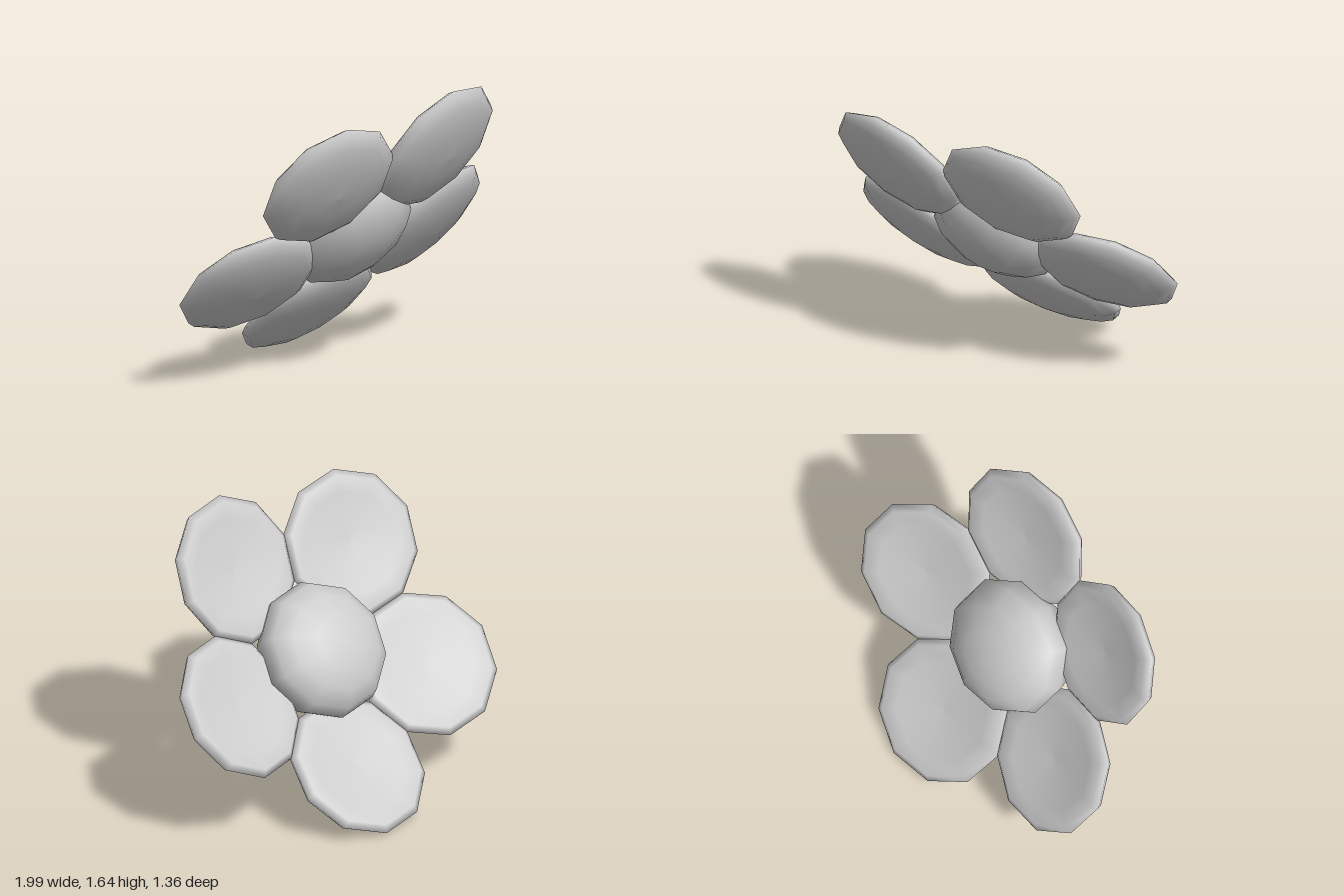
import * as THREE from 'three';

const PETALS = 5;
const SIDES = 10;
const RING = 0.664;                             // hub centre to petal centre
const CUP = THREE.MathUtils.degToRad(10);       // petals lean in towards the face
const PETAL_RADIUS = 0.416;
const PETAL_DEPTH = 0.122;                      // bulge of the underside

const material = new THREE.MeshStandardMaterial({ color: 0xcccccc });

// Rounded underside, rolled rim, then a shallow hollow back to the middle
function petalGeometry() {
  const points = [];
  const steps = 5;
  for (let i = 0; i <= steps; i++) {
    const a = (i / steps) * Math.PI / 2;
    points.push(new THREE.Vector2(PETAL_RADIUS * Math.sin(a), -PETAL_DEPTH * Math.cos(a)));
  }
  for (const [r, y] of [[0.91, 0.028], [0.7, 0.018], [0.4, 0], [0, -0.01]]) {
    points.push(new THREE.Vector2(PETAL_RADIUS * r, y));
  }
  return new THREE.LatheGeometry(points, SIDES, Math.PI / 2);
}

export function createModel() {
  const model = new THREE.Group();
  model.name = 'flower';

  const head = new THREE.Group();
  head.name = 'flowerHead';
  model.add(head);

  // Domed centre
  const centreGeometry = new THREE.SphereGeometry(1, SIDES, 8);
  centreGeometry.scale(0.39, 0.228, 0.39);
  const flowerCentre = new THREE.Mesh(centreGeometry, material);
  flowerCentre.name = 'flowerCentre';
  flowerCentre.position.y = 0.008;
  head.add(flowerCentre);

  // Ring of cupped petals
  const geometry = petalGeometry();
  for (let i = 0; i < PETALS; i++) {
    const arm = new THREE.Group();
    arm.name = 'petalArm' + (i + 1);
    arm.rotation.y = (i * Math.PI * 2) / PETALS;
    const petal = new THREE.Mesh(geometry, material);
    petal.name = 'petal' + (i + 1);
    petal.position.set(RING, 0.012, 0);
    petal.rotation.z = CUP;
    arm.add(petal);
    head.add(arm);
  }

  // Tilt the head so its face looks up and back
  const face = new THREE.Vector3(-0.255, 0.604, -0.755).normalize();
  const side = new THREE.Vector3(-0.339, 0.391, 0.43);
  side.addScaledVector(face, -side.dot(face)).normalize();
  const third = new THREE.Vector3().crossVectors(side, face);
  head.quaternion.setFromRotationMatrix(new THREE.Matrix4().makeBasis(side, face, third));

  // Stand on the ground, centred
  model.updateMatrixWorld(true);
  const box = new THREE.Box3().setFromObject(model, true);
  const middle = box.getCenter(new THREE.Vector3());
  head.position.set(-middle.x, -box.min.y, -middle.z);
  return model;
}
